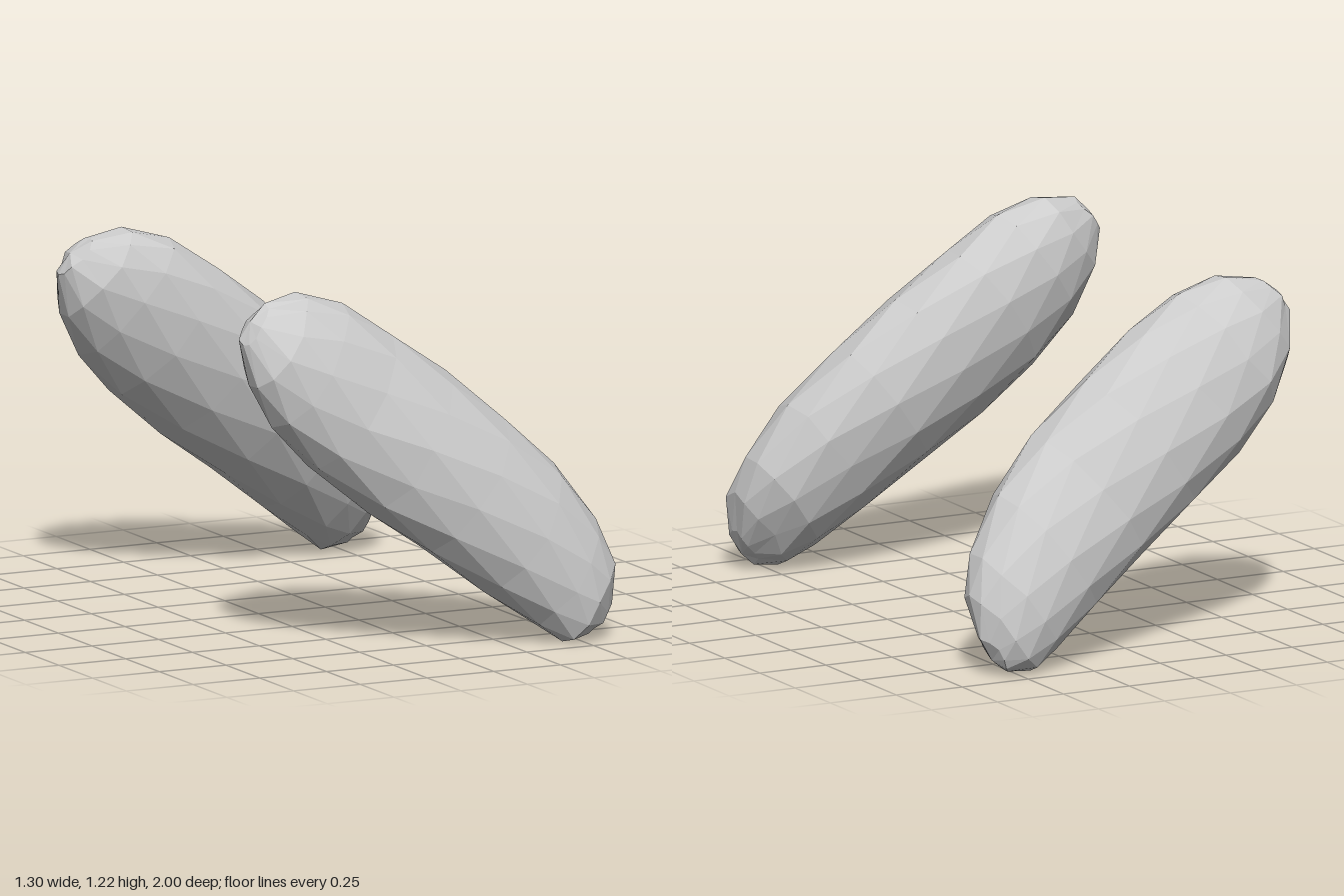
import * as THREE from 'three';

const SIDES = 12;
const DEPTH = 0.62; // height of the pods' shared middle

// Stations along the slanted axis: position, lower edge, upper edge
const STATIONS = [
  [-0.8, -0.02, 0.14], [-0.7, -0.12, 0.24], [-0.55, -0.19, 0.295], [-0.35, -0.228, 0.31],
  [-0.1, -0.235, 0.312], [0.15, -0.232, 0.298], [0.4, -0.228, 0.265], [0.6, -0.226, 0.193],
  [0.71, -0.22, 0.115], [0.78, -0.15, 0.0],
];

// Inner and outer distance from the middle plane at each station
const FRONT = [[0.62, 0.72], [0.54, 0.82], [0.5, 0.86], [0.488, 0.89], [0.495, 0.93],
  [0.525, 0.96], [0.585, 0.98], [0.655, 0.99], [0.74, 0.985], [0.82, 0.93]];
const BACK = [[0.61, 0.72], [0.54, 0.81], [0.515, 0.87], [0.505, 0.9], [0.515, 0.925],
  [0.54, 0.947], [0.6, 0.98], [0.68, 1.0], [0.75, 0.99], [0.85, 0.955]];

function makePod(name, widths, side, seed) {
  const random = () => ((seed = (seed * 16807) % 2147483647) / 2147483647) - 0.5;
  const positions = [];
  const index = [];
  // Axis coordinates to model space: u along the pod, v across it
  const put = (u, v, z) => positions.push(0.8 * u + 0.6 * v, DEPTH - 0.6 * u + 0.8 * v, z);

  // Staggered oval rings, leaning slightly inward at the top
  STATIONS.forEach(([u, low, high], i) => {
    const [inner, outer] = widths[i];
    const midV = (low + high) / 2;
    const midZ = side * (inner + outer) / 2;
    for (let j = 0; j < SIDES; j++) {
      const angle = (j + i / 2) * Math.PI * 2 / SIDES;
      const swell = 1.01 + 0.025 * random();
      const dv = Math.cos(angle) * swell * (high - low) / 2;
      const dz = Math.sin(angle) * swell * (outer - inner) / 2;
      put(u + 0.02 * random(), midV + dv, midZ + dz - side * 0.15 * dv);
    }
  });

  // Facets between rings
  const last = STATIONS.length - 1;
  for (let i = 0; i < last; i++) {
    for (let j = 0; j < SIDES; j++) {
      const a = i * SIDES + j;
      const a2 = i * SIDES + (j + 1) % SIDES;
      index.push(a, a2, a + SIDES, a2, a2 + SIDES, a + SIDES);
    }
  }

  // Blunt tips
  const top = positions.length / 3;
  put(-0.82, 0.06, side * (widths[0][0] + widths[0][1]) / 2);
  put(0.8, -0.09, side * (widths[last][0] + widths[last][1]) / 2);
  for (let j = 0; j < SIDES; j++) {
    const k = (j + 1) % SIDES;
    index.push(top, k, j, top + 1, last * SIDES + j, last * SIDES + k);
  }

  const geometry = new THREE.BufferGeometry();
  geometry.setAttribute('position', new THREE.Float32BufferAttribute(positions, 3));
  geometry.setIndex(index);
  geometry.computeVertexNormals();
  const mesh = new THREE.Mesh(geometry,
    new THREE.MeshStandardMaterial({ color: 0xcccccc, flatShading: true }));
  mesh.name = name;
  return mesh;
}

export function createModel() {
  const group = new THREE.Group();
  group.name = 'podPair';
  group.add(makePod('frontPod', FRONT, 1, 17), makePod('backPod', BACK, -1, 91));
  return group;
}
